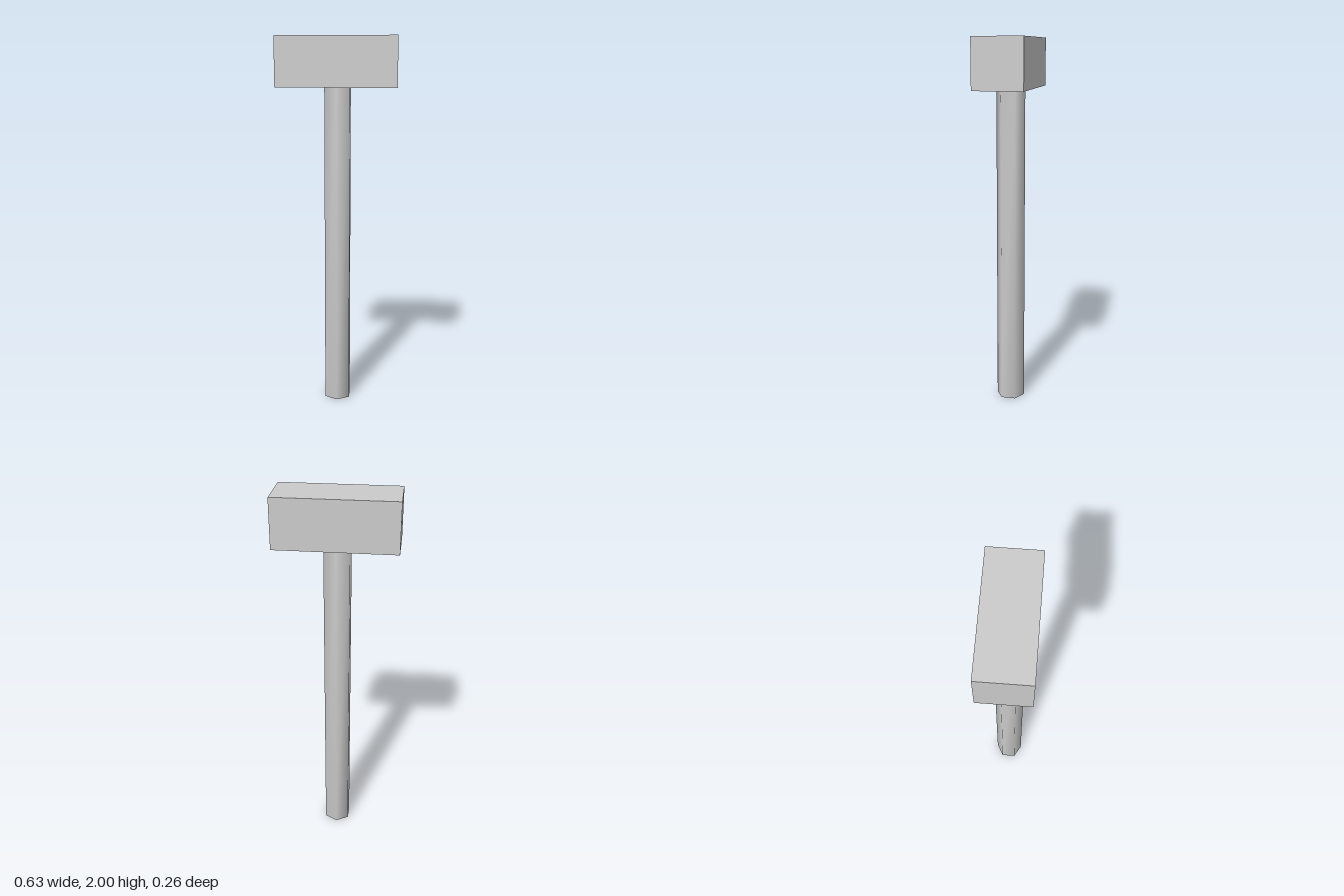
import * as THREE from 'three';
import { mergeVertices } from 'three/addons/utils/BufferGeometryUtils.js';

const HEIGHT = 2;
const HEAD = { width: 0.63, height: 0.26, depth: 0.262 };
const HANDLE = { radius: 0.0775, sides: 6 };

// Share vertices between sides and caps so the shading is smooth all over
function smooth(geometry) {
  geometry.deleteAttribute('normal');
  geometry.deleteAttribute('uv');
  const merged = mergeVertices(geometry);
  merged.computeVertexNormals();
  return merged;
}

export function createModel() {
  const model = new THREE.Group();
  model.name = 'hammer';
  const material = new THREE.MeshStandardMaterial({ color: 0xcccccc });

  // Block head with crisp edges
  const head = new THREE.Mesh(new THREE.BoxGeometry(HEAD.width, HEAD.height, HEAD.depth), material);
  head.name = 'head';
  head.position.y = HEIGHT - HEAD.height / 2;
  model.add(head);

  // Six-sided handle, reaching the underside of the head
  const length = HEIGHT - HEAD.height;
  const handle = new THREE.Mesh(
    smooth(new THREE.CylinderGeometry(HANDLE.radius, HANDLE.radius, length, HANDLE.sides)),
    material
  );
  handle.name = 'handle';
  handle.position.y = length / 2;
  model.add(handle);

  return model;
}
